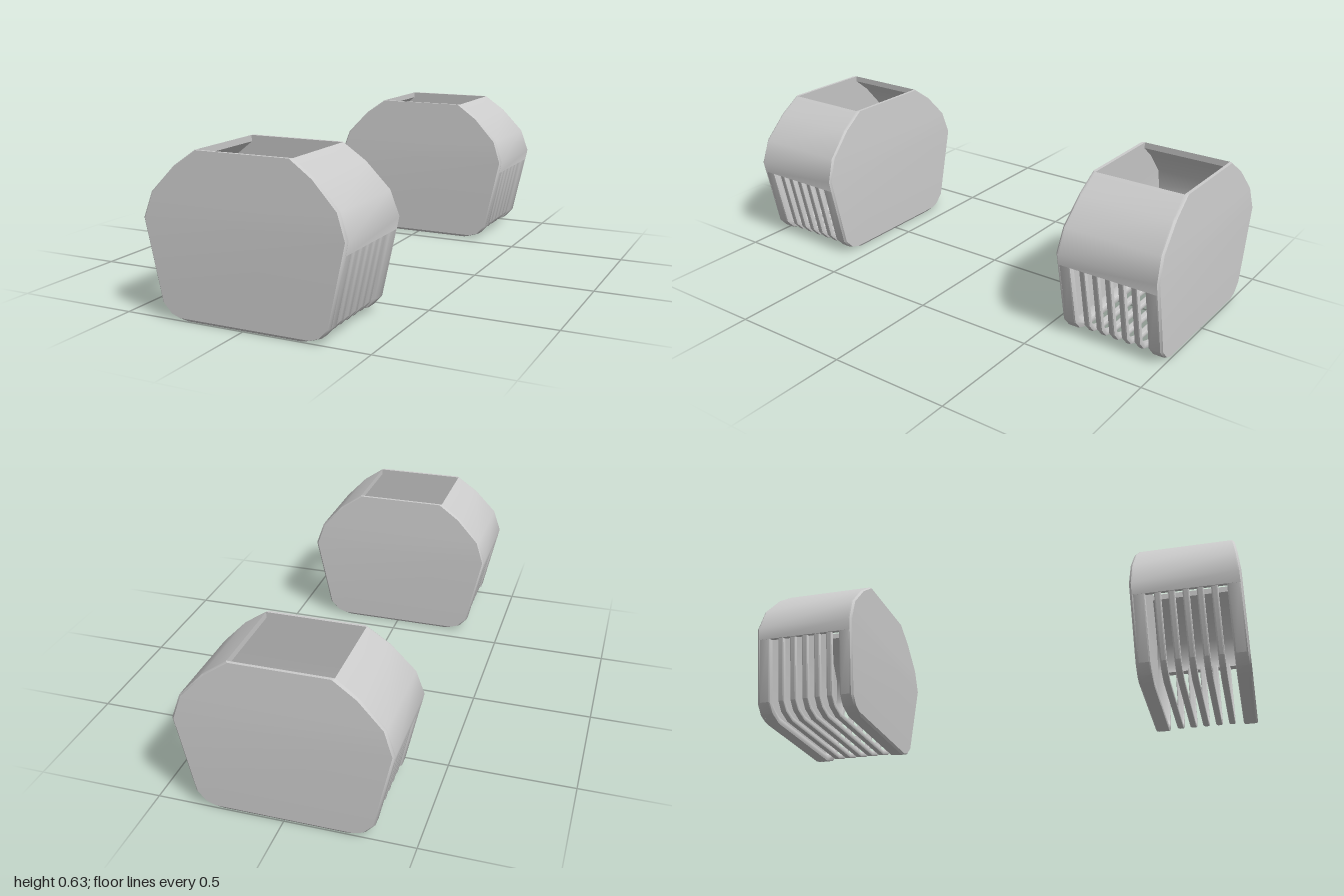
import * as THREE from 'three';
import { toCreasedNormals } from 'three/addons/utils/BufferGeometryUtils.js';

const material = new THREE.MeshStandardMaterial({ color: 0xcccccc, side: THREE.DoubleSide });
const CENTER_Z = 0.787;

// Half profile of the body: upper shoulder and lower tub
const UPPER = [[0.195, 0.63], [0.285, 0.567], [0.38, 0.467], [0.413, 0.37], [0.403, 0.322]];
const LOWER = [[0.405, 0.335], [0.345, 0.06], [0.31, 0.022], [0.245, 0]];
const mirrorX = (pts) => pts.map(([x, y]) => [-x, y]);
const TUB = [...LOWER, ...mirrorX(LOWER).reverse()];

// Half depth of the body, narrowing above the widest line
const halfDepth = (y) => 0.213 - 0.018 * Math.max(0, (y - 0.37) / 0.26);

// Moves an open path inward by d with mitred corners
function inset(path, d) {
  const normals = path.slice(1).map(([x, y], i) => {
    const dx = x - path[i][0], dy = y - path[i][1], l = Math.hypot(dx, dy);
    return [dy / l, -dx / l];
  });
  return path.map(([x, y], i) => {
    const a = normals[Math.max(i - 1, 0)], b = normals[Math.min(i, normals.length - 1)];
    const k = d / (1 + a[0] * b[0] + a[1] * b[1]);
    return [x + (a[0] + b[0]) * k, y + (a[1] + b[1]) * k];
  });
}

// Strip of given thickness following a path, centred on z = 0
function strip(path, recess, thickness, width, bevel) {
  const outline = [...inset(path, recess), ...inset(path, recess + thickness).reverse()];
  const shape = new THREE.Shape(outline.map((p) => new THREE.Vector2(...p)));
  const geo = new THREE.ExtrudeGeometry(shape, {
    depth: width - 2 * bevel, bevelEnabled: bevel > 0, bevelThickness: bevel,
    bevelSize: bevel, bevelOffset: -bevel, bevelSegments: 2,
  });
  return geo.translate(0, 0, -(width - 2 * bevel) / 2);
}

// Side panel lofted upward from horizontal sections
function panelGeometry() {
  const t = 0.013, b = 0.008;
  const rows = [[0.245, 0, 0.206], [0.275, 0.01, 0.213], [0.31, 0.022], [0.345, 0.06],
    [0.413, 0.37], [0.38, 0.467], [0.285, 0.567], [0.195, 0.63]];
  const pos = [], idx = [], n = 6;
  rows.forEach(([x, y, w = halfDepth(y)], i) => {
    const ring = [[b - x, w], [x - b, w], [x, w - b], [x, w - t], [-x, w - t], [-x, w - b]];
    ring.forEach(([px, pz]) => pos.push(px, y, pz));
    if (i === 0) return;
    for (let j = 0; j < n; j++) {
      const a = (i - 1) * n + j, c = (i - 1) * n + (j + 1) % n;
      idx.push(a, c, c + n, a, c + n, a + n);
    }
  });
  const top = (rows.length - 1) * n;
  for (let j = 1; j < n - 1; j++) idx.push(0, j + 1, j, top, top + j, top + j + 1);
  const geo = new THREE.BufferGeometry();
  geo.setAttribute('position', new THREE.Float32BufferAttribute(pos, 3));
  geo.setIndex(idx);
  return geo;
}

// Curved shoulder, its depth following the narrowing body
function shoulderGeometry(side) {
  const outline = [...UPPER, ...inset(UPPER, 0.025).reverse()];
  outline[outline.length - 1] = [0.195, 0.605];
  const shape = new THREE.Shape(outline.map(([x, y]) => new THREE.Vector2(side * x, y)));
  const geo = new THREE.ExtrudeGeometry(shape, { depth: 2, bevelEnabled: false });
  const p = geo.attributes.position;
  for (let i = 0; i < p.count; i++) p.setZ(i, (p.getZ(i) - 1) * (halfDepth(p.getY(i)) - 0.008));
  return geo;
}

function add(parent, name, geometry, z = 0, crease = 0.55) {
  const mesh = new THREE.Mesh(toCreasedNormals(geometry, crease), material);
  mesh.name = name;
  mesh.position.z = z;
  parent.add(mesh);
  return mesh;
}

function createBasket() {
  const basket = new THREE.Group();
  // Closed panels at both ends of the depth
  add(basket, 'frontPanel', panelGeometry());
  add(basket, 'backPanel', panelGeometry()).rotation.y = Math.PI;
  // Curved shoulders beside the top opening
  add(basket, 'leftShoulder', shoulderGeometry(1));
  add(basket, 'rightShoulder', shoulderGeometry(-1));
  // Thick rims framing the slotted area
  const rim = strip(TUB, 0, 0.03, 0.052, 0.007);
  add(basket, 'frontRim', rim, 0.181);
  add(basket, 'backRim', rim, -0.181);
  // Five thin bars wrapping sides and floor
  const bar = strip(TUB, 0.005, 0.022, 0.026, 0.006);
  for (let i = -2; i <= 2; i++) add(basket, `bar${i + 3}`, bar, i * 0.054);
  return basket;
}

export function createModel() {
  const model = new THREE.Group();
  model.name = 'basketPair';
  for (const [name, s] of [['frontBasket', 1], ['backBasket', -1]]) {
    const basket = createBasket();
    basket.name = name;
    basket.position.z = s * CENTER_Z;
    model.add(basket);
  }
  return model;
}
